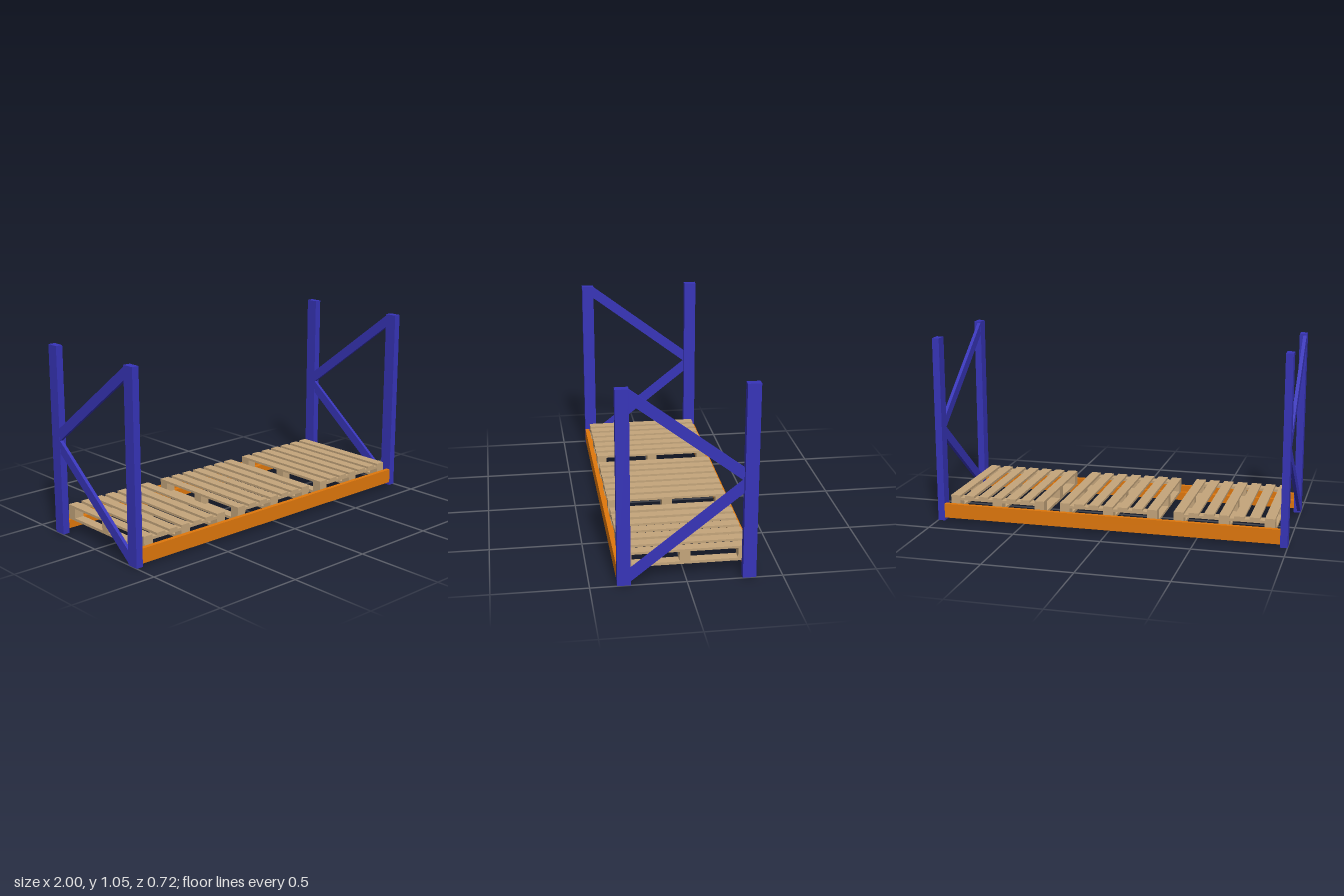
import * as THREE from 'three';

const blue = new THREE.MeshStandardMaterial({ color: 0x3734b8 });
const orange = new THREE.MeshStandardMaterial({ color: 0xe0780c });
const wood = new THREE.MeshStandardMaterial({ color: 0xc4a57b });

// Box given by its min and max along each axis
function box(name, material, [x0, x1], [y0, y1], [z0, z1]) {
  const mesh = new THREE.Mesh(new THREE.BoxGeometry(x1 - x0, y1 - y0, z1 - z0), material);
  mesh.position.set((x0 + x1) / 2, (y0 + y1) / 2, (z0 + z1) / 2);
  mesh.name = name;
  return mesh;
}

// Sloping flat bar between the two posts, its ends cut vertically
function brace(name, yFront, yBack) {
  const h = 0.07, t = 0.019, z = 0.29;
  const shape = new THREE.Shape([
    new THREE.Vector2(-z, yFront), new THREE.Vector2(z, yBack),
    new THREE.Vector2(z, yBack + h), new THREE.Vector2(-z, yFront + h),
  ]);
  const geometry = new THREE.ExtrudeGeometry(shape, { depth: t, bevelEnabled: false });
  geometry.rotateY(Math.PI / 2);
  const mesh = new THREE.Mesh(geometry, blue);
  mesh.position.x = -0.019;
  mesh.name = name;
  return mesh;
}

// Upright end frame: two posts and a zigzag of braces
function endFrame(name, x) {
  const frame = new THREE.Group();
  frame.name = name;
  frame.add(
    box('frontPost', blue, [-0.02, 0.02], [0, 1.055], [0.29, 0.36]),
    box('backPost', blue, [-0.02, 0.02], [0, 1.055], [-0.36, -0.29]),
    brace('upperBrace', 0.977, 0.535),
    brace('lowerBrace', 0.01, 0.467),
  );
  frame.position.x = x;
  return frame;
}

// Step-shaped beam: high outer wall and a lower ledge for the pallets
function stepBeam(name, side) {
  const shape = new THREE.Shape([
    [0.31, 0.018], [0.36, 0.018], [0.36, 0.1], [0.335, 0.1], [0.335, 0.065], [0.31, 0.065],
  ].map(([z, y]) => new THREE.Vector2(-z, y)));
  const geometry = new THREE.ExtrudeGeometry(shape, { depth: 1.92, bevelEnabled: false });
  geometry.rotateY(Math.PI / 2).translate(-0.96, 0, 0);
  const mesh = new THREE.Mesh(geometry, orange);
  if (side < 0) mesh.rotation.y = Math.PI;
  mesh.name = name;
  return mesh;
}

// Pallet: bottom boards, nine blocks, two cross boards, seven top slats
function pallet(x) {
  const group = new THREE.Group();
  group.name = 'pallet';
  const half = 0.278, depth = 0.334, w = 0.056;
  for (let i = -1; i <= 1; i++) {
    const cx = i * (half - w / 2);
    const across = [cx - w / 2, cx + w / 2];
    group.add(box('bottomBoard', wood, across, [0.065, 0.08], [-depth, depth]));
    for (let j = -1; j <= 1; j++) {
      const cz = j * (depth - w / 2);
      const top = j === 0 ? 0.135 : 0.12;
      group.add(box('block', wood, across, [0.08, top], [cz - w / 2, cz + w / 2]));
    }
  }
  for (const s of [-1, 1]) {
    const cz = s * (depth - w / 2);
    group.add(box('crossBoard', wood, [-half, half], [0.12, 0.135], [cz - w / 2, cz + w / 2]));
  }
  for (let i = -3; i <= 3; i++) {
    const cx = i * (half - w / 2) / 3;
    group.add(box('topSlat', wood, [cx - w / 2, cx + w / 2], [0.135, 0.148], [-depth, depth]));
  }
  group.position.x = x;
  return group;
}

export function createModel() {
  const model = new THREE.Group();
  model.name = 'palletRack';
  model.add(
    endFrame('leftFrame', 0.98), endFrame('rightFrame', -0.98),
    stepBeam('frontBeam', 1), stepBeam('backBeam', -1),
  );
  for (const x of [-0.65, 0, 0.65]) model.add(pallet(x));
  return model;
}
